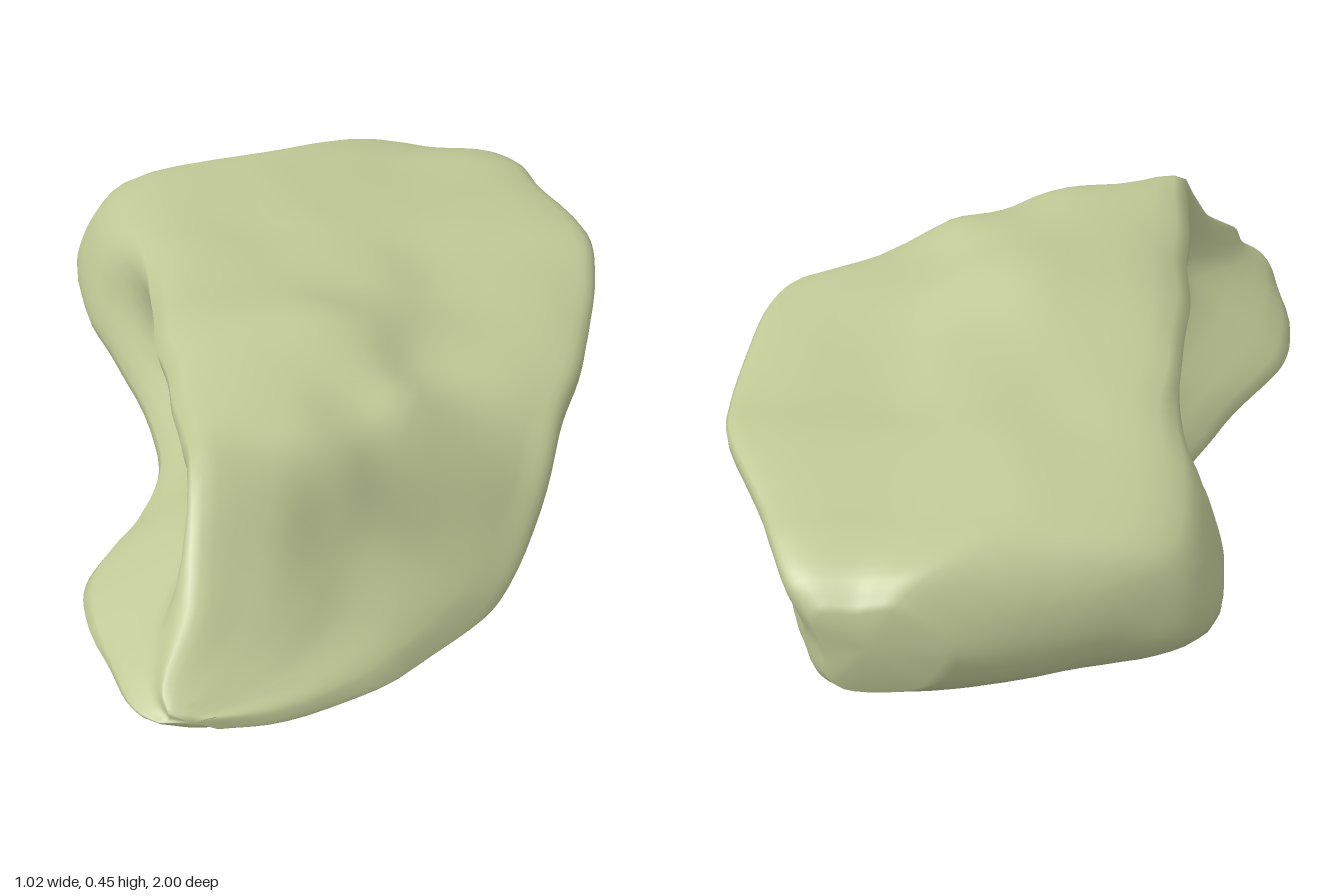
import * as THREE from 'three';

// Stations from back to front:
// z, left foot x, y, left crest x, y, top y, right rim x, y, right foot x, base y
const STATIONS = [
  [-0.99, 0.0, 0.1, 0.02, 0.2, 0.235, 0.23, 0.22, 0.2, 0.06],
  [-0.94, -0.13, 0.09, -0.1, 0.22, 0.29, 0.29, 0.27, 0.23, 0.045],
  [-0.84, -0.33, 0.1, -0.29, 0.25, 0.325, 0.34, 0.31, 0.26, 0.035],
  [-0.75, -0.49, 0.11, -0.42, 0.29, 0.34, 0.37, 0.32, 0.29, 0.03],
  [-0.5, -0.48, 0.12, -0.41, 0.33, 0.365, 0.48, 0.345, 0.34, 0.02],
  [-0.35, -0.42, 0.1, -0.37, 0.35, 0.37, 0.5, 0.335, 0.355, 0.02],
  [-0.15, -0.34, 0.05, -0.345, 0.355, 0.39, 0.5, 0.34, 0.355, 0.02],
  [0.05, -0.33, 0.04, -0.33, 0.37, 0.44, 0.49, 0.34, 0.36, 0.015],
  [0.2, -0.36, 0.04, -0.3, 0.385, 0.44, 0.46, 0.31, 0.365, 0.01],
  [0.35, -0.41, 0.05, -0.275, 0.395, 0.425, 0.43, 0.2, 0.37, 0.015],
  [0.48, -0.44, 0.05, -0.255, 0.395, 0.405, 0.36, 0.07, 0.345, 0.012],
  [0.57, -0.44, 0.05, -0.235, 0.385, 0.345, 0.3, 0.045, 0.295, 0.01],
  [0.8, -0.38, 0.04, -0.23, 0.19, 0.155, 0.135, 0.035, 0.12, 0.005],
  [0.95, -0.32, 0.03, -0.27, 0.08, 0.075, -0.05, 0.035, -0.08, 0.012],
  [0.99, -0.28, 0.03, -0.26, 0.05, 0.05, -0.16, 0.04, -0.17, 0.025],
];
const AROUND = 60;
const ALONG = 64;
const mix = THREE.MathUtils.lerp;
const ramp = THREE.MathUtils.smoothstep;

// One closed cross-section, counter-clockwise seen from the front
function section([z, lx, ly, cx, cy, ty, rx, ry, fx, by]) {
  // The left wall bulges at the back and is scooped out under the crest further forward
  const scoop = mix(-0.03, 0.12, ramp(z, -0.5, 0)) * mix(1, 0.1, ramp(z, 0.55, 0.8));
  // The hump steps down to a shelf on the right, then breaks into the front slope
  const shoulder = mix(0.88, 0.7, ramp(z, 0.48, 0.57));
  const shelf = mix(0.42, 0.78, ramp(z, 0.1, 0.35)) * mix(1, 0.58, ramp(z, 0.35, 0.57));
  const points = [
    [lx, ly],
    [mix(lx, fx, 0.2), mix(by, ly, 0.25)],
    [mix(lx, fx, 0.85), by],
    [fx, by + 0.02],
    [mix(fx, rx, 0.4), mix(by, ry, 0.5)],
    [rx, ry - 0.02],
    [mix(cx, rx, 0.92), mix(ry, ty, 0.12)],
    [mix(cx, rx, 0.65), mix(ry, ty, shelf)],
    [mix(cx, rx, 0.5), mix(ry, ty, shoulder)],
    [mix(cx, rx, 0.3), ty],
    [cx, cy],
    [mix(lx, cx, 0.5) + scoop, mix(ly, cy, 0.45)],
  ].map(([x, y]) => new THREE.Vector3(x, y, z));
  const curve = new THREE.CatmullRomCurve3(points, true, 'centripetal');
  return Array.from({ length: AROUND }, (_, i) => curve.getPoint(i / AROUND));
}

// Gentle weathering
function weather(p) {
  const n = Math.sin(p.x * 17 + p.z * 5 + 1) * Math.sin(p.z * 19 - p.x * 6) * Math.cos(p.y * 15);
  p.x += 0.005 * n;
  p.y = Math.max(0, p.y + (p.y > 0.06 ? 0.004 * n : 0));
}

function boulderGeometry() {
  const sections = STATIONS.map(section);
  const lines = sections[0].map((_, i) =>
    new THREE.CatmullRomCurve3(sections.map((s) => s[i]), false, 'centripetal'));
  const positions = [];
  const index = [];

  // Skin lofted through the sections
  for (let j = 0; j <= ALONG; j++) {
    for (const line of lines) {
      const p = line.getPoint(j / ALONG);
      weather(p);
      positions.push(p.x, p.y, p.z);
    }
  }
  for (let j = 0; j < ALONG; j++) {
    for (let i = 0; i < AROUND; i++) {
      const a = j * AROUND + i;
      const b = j * AROUND + (i + 1) % AROUND;
      index.push(a, b, b + AROUND, a, b + AROUND, a + AROUND);
    }
  }

  // Slightly domed end caps
  for (const [row, z] of [[0, -1], [ALONG, 1]]) {
    const start = row * AROUND;
    let x = 0, y = 0;
    for (let i = 0; i < AROUND; i++) {
      x += positions[(start + i) * 3] / AROUND;
      y += positions[(start + i) * 3 + 1] / AROUND;
    }
    const center = positions.length / 3;
    positions.push(x, y, z);
    for (let i = 0; i < AROUND; i++) {
      const a = start + i;
      const b = start + (i + 1) % AROUND;
      if (z > 0) index.push(center, a, b);
      else index.push(center, b, a);
    }
  }

  const geometry = new THREE.BufferGeometry();
  geometry.setAttribute('position', new THREE.Float32BufferAttribute(positions, 3));
  geometry.setIndex(index);
  geometry.computeVertexNormals();
  return geometry;
}

export function createModel() {
  const stone = new THREE.MeshStandardMaterial({ color: 0xc0c896 });
  stone.name = 'mossy stone';
  const boulder = new THREE.Mesh(boulderGeometry(), stone);
  boulder.name = 'boulder';
  const group = new THREE.Group();
  group.name = 'rock';
  group.add(boulder);
  return group;
}
